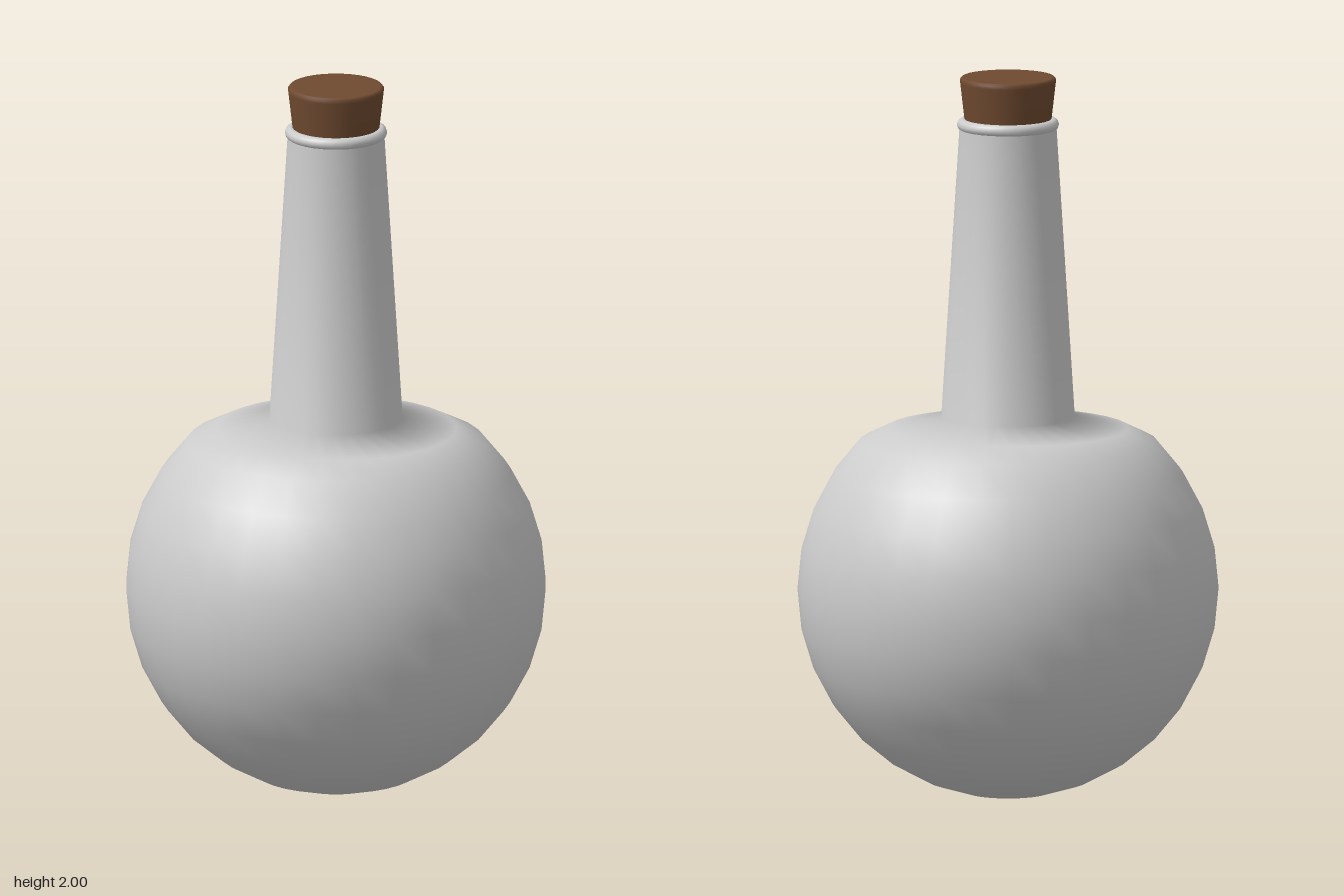
import * as THREE from 'three';

const SIDES = 32;

function lathe(name, profile, color) {
  const points = profile.map(([r, y]) => new THREE.Vector2(r, y));
  const material = new THREE.MeshStandardMaterial({ color, side: THREE.DoubleSide });
  const mesh = new THREE.Mesh(new THREE.LatheGeometry(points, SIDES), material);
  mesh.name = name;
  return mesh;
}

export function createModel() {
  const group = new THREE.Group();
  group.name = 'corkedFlask';

  // Round body: an arc from the bottom pole up to the shoulder
  const radius = 0.577, centreY = 0.581;
  const profile = [];
  for (let i = 0; i <= 12; i++) {
    const a = (i / 16) * Math.PI;
    profile.push([radius * Math.sin(a), centreY - radius * Math.cos(a)]);
  }
  // Flattened shoulder, tapering neck and inner rim
  profile.push([0.33, 1.027], [0.183, 1.058], [0.133, 1.86], [0.128, 1.875], [0.112, 1.875], [0.11, 1.8]);
  group.add(lathe('flask', profile, 0xcccccc));

  // Rounded lip around the mouth
  const lip = new THREE.Mesh(
    new THREE.TorusGeometry(0.123, 0.017, 10, SIDES),
    new THREE.MeshStandardMaterial({ color: 0xcccccc })
  );
  lip.name = 'lip';
  lip.rotation.x = Math.PI / 2;
  lip.position.y = 1.869;
  group.add(lip);

  // Tapered cork with a narrow bevel at the top
  group.add(lathe('cork', [
    [0, 1.8], [0.108, 1.8], [0.119, 1.88], [0.131, 1.985],
    [0.132, 1.994], [0.127, 2], [0.122, 2], [0, 2],
  ], 0x6f4a30));

  return group;
}
